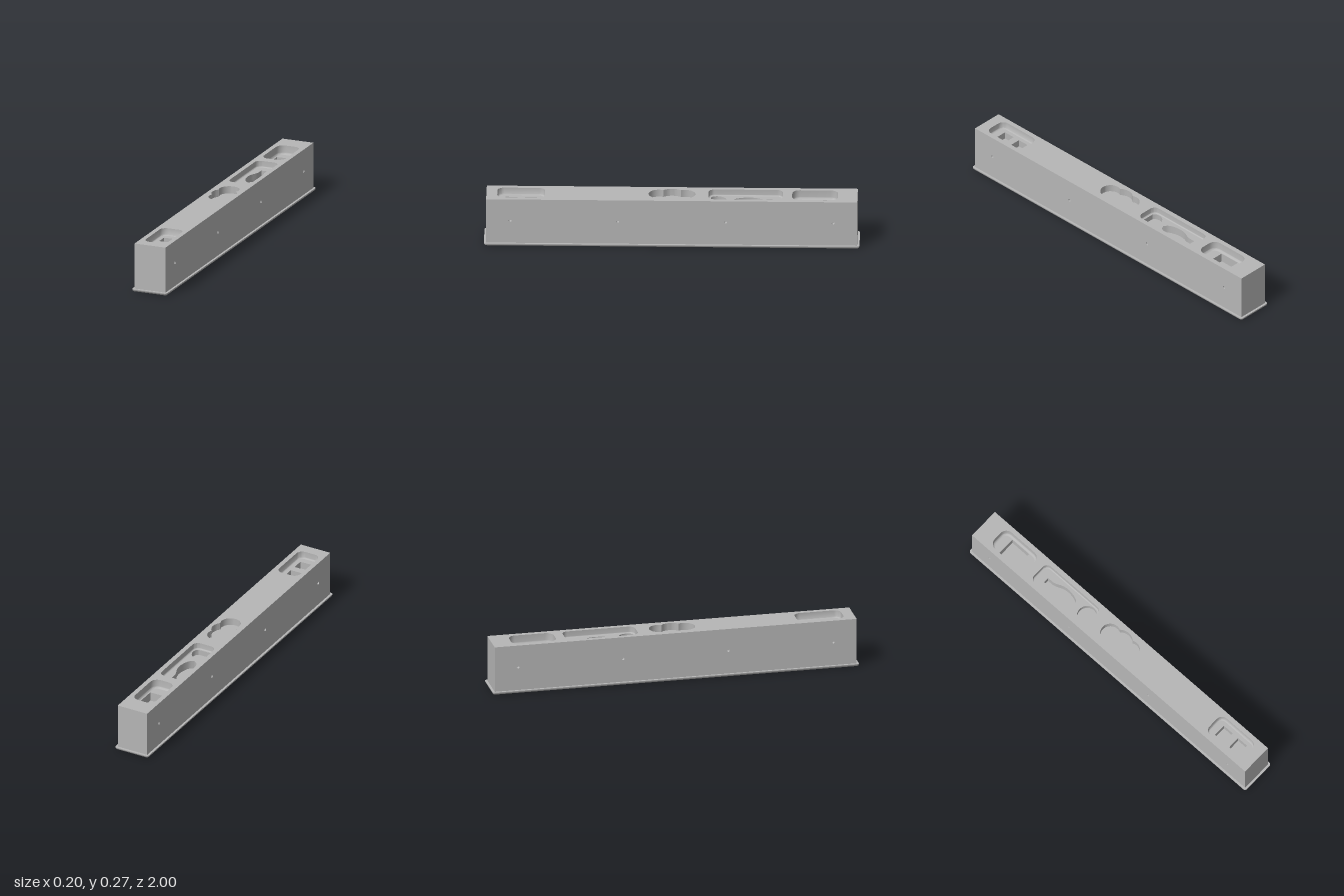
import * as THREE from 'three';
import { toCreasedNormals } from 'three/addons/utils/BufferGeometryUtils.js';

const grey = new THREE.MeshStandardMaterial({ color: 0xb6b6b6 });
grey.name = 'plain grey';

const V = (x, y) => new THREE.Vector2(x, y);

// Outlines run counter-clockwise in a local plane; d shrinks them inwards
const arc = (cx, cy, r, from, to, n = 12) =>
  Array.from({ length: n + 1 }, (_, i) => {
    const a = from + ((to - from) * i) / n;
    return V(cx + r * Math.cos(a), cy + r * Math.sin(a));
  });

const roundedRect = (cx, cy, hx, hy, r) => (d = 0) => {
  const q = Math.PI / 2, k = Math.max(r - d, 0.0005);
  const ax = hx - d - k, ay = hy - d - k;
  return [[1, 1], [-1, 1], [-1, -1], [1, -1]].flatMap(([sx, sy], i) =>
    arc(cx + sx * ax, cy + sy * ay, k, i * q, (i + 1) * q, 6));
};

const rect = (cx, cy, hx, hy) => () =>
  [V(cx + hx, cy + hy), V(cx - hx, cy + hy), V(cx - hx, cy - hy), V(cx + hx, cy - hy)];

const circle = (cx, cy, r) => () => arc(cx, cy, r, 0, Math.PI * 2, 20).slice(0, -1);

// Three overlapping circles
const cloud = () => {
  const R = 0.068, r = 0.055, c = 0.07;
  const y = (R * R - r * r + c * c) / (2 * c), x = Math.sqrt(R * R - y * y);
  const big = Math.atan2(y, x), small = Math.atan2(y - c, x);
  return [
    ...arc(0, 0, R, -big, big),
    ...arc(0, c, r, small, Math.PI - small, 24).slice(1),
    ...arc(0, 0, R, Math.PI - big, Math.PI + big).slice(1),
    ...arc(0, -c, r, Math.PI + small, Math.PI * 2 - small, 24).slice(1, -1),
  ];
};

// Slender bulb with a straight neck
const bulb = () => {
  const side = new THREE.SplineCurve([
    V(0, 0.32), V(0.022, 0.338), V(0.036, 0.372), V(0.041, 0.41),
    V(0.036, 0.445), V(0.022, 0.478), V(0.016, 0.5),
  ]).getPoints(24);
  side.push(V(0.016, 0.535));
  return [...side, ...side.slice(1).reverse().map((p) => V(-p.x, p.y))];
};

// Half disc against the end of its recess
const scoop = () => [
  ...arc(0, 0.237, 0.055, 0, Math.PI, 24),
  V(-0.05, 0.217), V(-0.038, 0.206), V(0.038, 0.206), V(0.05, 0.217),
];
const scoopFloor = () => arc(0, 0.189, 0.05, 0.42, Math.PI - 0.42, 16);

// Skin between rings [outline, height]; rising rings face out, falling rings face in
function loft(rings) {
  const pos = [];
  for (let k = 0; k + 1 < rings.length; k++) {
    const [a, ha] = rings[k], [b, hb] = rings[k + 1];
    a.forEach((p, i) => {
      const j = (i + 1) % a.length;
      pos.push(p.x, p.y, ha, a[j].x, a[j].y, ha, b[j].x, b[j].y, hb,
        p.x, p.y, ha, b[j].x, b[j].y, hb, b[i].x, b[i].y, hb);
    });
  }
  const g = new THREE.BufferGeometry();
  g.setAttribute('position', new THREE.Float32BufferAttribute(pos, 3));
  g.computeVertexNormals();
  return toCreasedNormals(g, 0.6);
}

function add(group, name, geometry) {
  const mesh = new THREE.Mesh(geometry, grey);
  mesh.name = name;
  group.add(mesh);
  return mesh;
}

// Flat surface pierced by recesses, each with walls, a floor and maybe deeper recesses
function surface(group, name, outline, h, recesses = []) {
  const shape = new THREE.Shape(outline);
  shape.holes = recesses.map((r) => new THREE.Path(r.outline(0)));
  add(group, name, new THREE.ShapeGeometry(shape).translate(0, 0, h));
  for (const r of recesses) {
    const f = r.fillet || 0, low = h - r.depth;
    const rings = [[r.outline(0), h]];
    if (f) {
      for (let i = 0; i <= 4; i++) {
        const a = (i / 4) * Math.PI / 2;
        rings.push([r.outline(f * (1 - Math.cos(a))), low + f * (1 - Math.sin(a))]);
      }
    } else rings.push([r.outline(0), low]);
    add(group, r.name + 'Wall', loft(rings));
    surface(group, r.name + 'Floor', r.outline(f), low, r.inner);
  }
}

function panel(parent, name, hx, hy, position, rotation, recesses) {
  const g = new THREE.Group();
  g.name = name;
  g.position.set(...position);
  g.rotation.set(...rotation);
  surface(g, name + 'Face', rect(0, 0, hx, hy)(), 0, recesses);
  parent.add(g);
}

export function createModel() {
  const model = new THREE.Group();
  model.name = 'recessedBeam';
  const W = 0.09, L = 0.988, Y0 = 0.015, Y1 = 0.267;
  const mid = (Y0 + Y1) / 2, half = (Y1 - Y0) / 2, q = Math.PI / 2;

  // Recesses along the top; local y points to the back
  const topRecesses = [
    { name: 'backTray', outline: roundedRect(0, 0.762, 0.064, 0.122, 0.04), depth: 0.05, fillet: 0.012,
      inner: [{ name: 'backTrayWell', outline: rect(0, 0.765, 0.051, 0.06), depth: 0.05 }] },
    { name: 'longTray', outline: roundedRect(0, 0.392, 0.064, 0.198, 0.032), depth: 0.035, fillet: 0.006,
      inner: [
        { name: 'bulbRecess', outline: bulb, depth: 0.045 },
        { name: 'scoopRecess', outline: scoop, depth: 0.03,
          inner: [{ name: 'scoopWell', outline: scoopFloor, depth: 0.015 }] },
      ] },
    { name: 'cloudRecess', outline: cloud, depth: 0.04 },
    { name: 'frontTray', outline: roundedRect(0, -0.803, 0.064, 0.127, 0.035), depth: 0.04, fillet: 0.008,
      inner: [-0.752, -0.855].map((y, i) => (
        { name: 'squareWell' + (i + 1), outline: rect(0, y, 0.035, 0.032), depth: 0.04 })) },
  ];
  panel(model, 'top', W, L, [0, Y1, 0], [-q, 0, 0], topRecesses);

  // Long sides with four screw holes each
  const screwHoles = [-0.86, -0.287, 0.287, 0.86].map((z, i) => (
    { name: 'screwHole' + (i + 1), outline: circle(z, 0.145 - mid, 0.008), depth: 0.02 }));
  panel(model, 'leftSide', L, half, [W, mid, 0], [0, q, 0], screwHoles);
  panel(model, 'rightSide', L, half, [-W, mid, 0], [0, -q, 0], screwHoles);

  // Ends
  panel(model, 'frontEnd', W, half, [0, mid, L], [0, 0, 0], []);
  panel(model, 'backEnd', W, half, [0, mid, -L], [0, Math.PI, 0], []);

  // Base plate with a rounded lower edge
  const base = new THREE.Group();
  base.name = 'basePlate';
  base.rotation.x = -q;
  const edge = roundedRect(0, 0, 0.102, 1, 0.013), rings = [];
  for (let i = 0; i <= 6; i++) {
    const a = (i / 6) * q;
    rings.push([edge(0.012 * (1 - Math.sin(a))), 0.012 * (1 - Math.cos(a))]);
  }
  rings.push([edge(0), Y0]);
  add(base, 'plateEdge', loft(rings));
  surface(base, 'plateTop', edge(0), Y0);
  const underside = new THREE.ShapeGeometry(new THREE.Shape(edge(0.012)));
  add(base, 'plateUnderside', underside.rotateX(Math.PI));
  model.add(base);

  return model;
}
